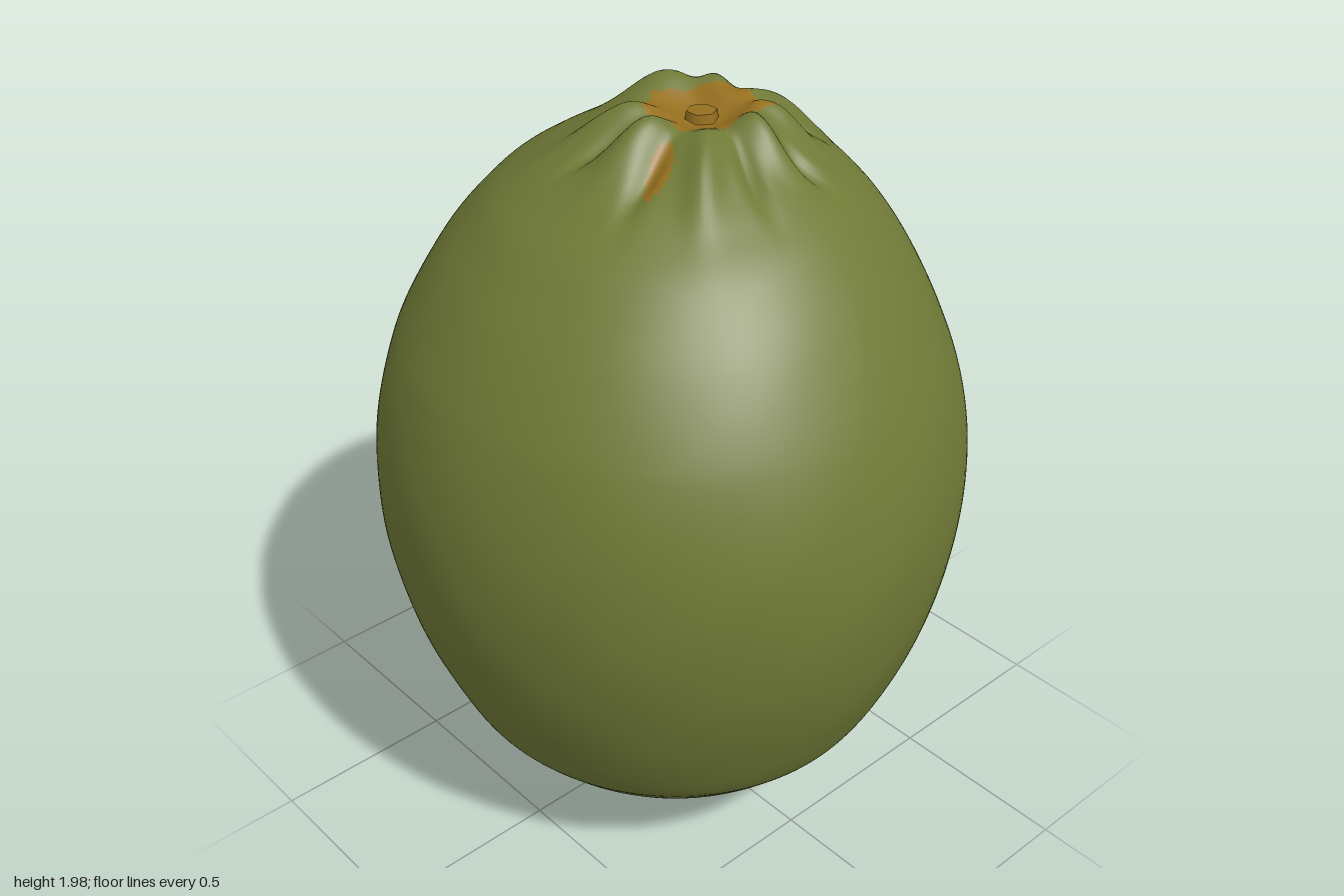
import * as THREE from 'three';
import { mergeVertices } from 'three/addons/utils/BufferGeometryUtils.js';

const skin = new THREE.MeshStandardMaterial({ color: 0x707a37 });
skin.name = 'olive green skin';
const scar = new THREE.MeshStandardMaterial({ color: 0x96701f });
scar.name = 'brown scar';

// Half outline of the fruit: radius, height (bottom to top)
const PROFILE = [
  [0, 0.004], [0.04, 0.01], [0.07, 0.032], [0.1, 0.062], [0.145, 0.09], [0.23, 0.108], [0.36, 0.143],
  [0.48, 0.21], [0.57, 0.3], [0.645, 0.4], [0.73, 0.6], [0.782, 0.8], [0.8, 1.0], [0.78, 1.2], [0.718, 1.4],
  [0.61, 1.6], [0.49, 1.745], [0.385, 1.825], [0.285, 1.885], [0.2, 1.935], [0.15, 1.955], [0.1, 1.945],
  [0.05, 1.93], [0, 1.93],
];

// Crown folds, from the stem centre: x, z, length outwards, width, height
const FOLDS = [
  [0.08, -0.19, 0.07, 0.09, 0.045], [0.2, -0.11, 0.1, 0.04, 0.03], [0.3, 0.04, 0.13, 0.035, 0.04],
  [0.17, 0.15, 0.09, 0.04, 0.035], [0.05, 0.2, 0.09, 0.045, 0.04], [-0.14, 0.21, 0.11, 0.04, 0.04],
  [-0.19, 0.02, 0.09, 0.05, 0.045], [-0.14, -0.11, 0.11, 0.04, 0.03], [0.09, -0.02, 0.03, 0.05, 0.02],
  // creases between the folds
  [0.19, -0.2, 0.08, 0.025, -0.025], [0.25, 0.11, 0.09, 0.022, -0.03], [0.12, 0.27, 0.08, 0.025, -0.03],
  [-0.04, 0.26, 0.09, 0.022, -0.025], [-0.22, 0.11, 0.09, 0.025, -0.03], [-0.21, -0.06, 0.08, 0.025, -0.025],
];

function foldHeight(x, z) {
  let h = 0;
  for (const [fx, fz, len, wid, amp] of FOLDS) {
    const d = Math.hypot(fx, fz), ux = fx / d, uz = fz / d;
    const along = (x - fx) * ux + (z - fz) * uz;
    const across = -(x - fx) * uz + (z - fz) * ux;
    h += amp * Math.exp(-((along / len) ** 2) - (across / wid) ** 2);
  }
  return h;
}

// Brown areas: the stem hollow, its spur, and two specks at the base
function isScar(x, y, z) {
  if (y > 1.7) {
    const hollow = x > -0.06 && x < 0.2 && z > -0.11 + 0.6 * Math.abs(x - 0.04) && z < (x > 0 ? 0.16 : 0.11);
    const u = (x + 0.17) * 0.87 - (z - 0.145) * 0.5, v = (x + 0.17) * 0.5 + (z - 0.145) * 0.87;
    return hollow || Math.hypot(u / 0.075, v / 0.028) < 1;
  }
  return y < 0.4 && (Math.hypot(x - 0.05, z) < 0.022 || Math.hypot(x - 0.37, z + 0.29) < 0.02);
}

function bodyGeometry() {
  const curve = new THREE.SplineCurve(PROFILE.map(([r, y]) => new THREE.Vector2(r, y)));
  const points = curve.getSpacedPoints(170);
  points[0].x = points[170].x = 0;
  let geo = new THREE.LatheGeometry(points, 160);
  geo.deleteAttribute('uv');
  geo.deleteAttribute('normal');
  geo = mergeVertices(geo);

  const pos = geo.attributes.position;
  for (let i = 0; i < pos.count; i++) {
    let x = pos.getX(i), y = pos.getY(i), z = pos.getZ(i);
    const r = Math.hypot(x, z), a = Math.atan2(z, x);
    const side = Math.min(1, r / 0.5);
    // folded crown, its right shoulder a little higher
    if (y > 1.4) y += foldHeight(x, z) + 0.04 * x * Math.min(1, (y - 1.4) / 0.3);
    // broader along one diagonal, with gentle unevenness
    const wobble = 1 + side * (-0.03 * Math.sin(2 * a) + 0.003 * Math.sin(3 * a + 1.2 + y)
      + 0.003 * Math.sin(5 * a - 2 * y) + 0.002 * Math.sin(11 * a + 7 * y) * Math.sin(9 * y));
    x *= wobble * 0.988;
    z *= wobble * 1.008;
    // small wrinkles around the tip
    if (y < 0.6) {
      const ring = Math.exp(-(((r - 0.32) / 0.15) ** 2));
      y += ring * (0.004 * Math.sin(9 * a + 24 * r) + 0.004 * Math.sin(5 * a - 30 * r));
    }
    // stem and tip sit a little off centre
    const shift = Math.exp(-((r / 0.3) ** 2));
    x += shift * (y > 1 ? 0.06 : 0.05);
    z += shift * (y > 1 ? 0.04 : 0);
    pos.setXYZ(i, x, y, z);
  }
  geo.computeVertexNormals();

  // sort the triangles into skin and scar
  const lists = [[], []], idx = geo.index;
  for (let t = 0; t < idx.count; t += 3) {
    const tri = [idx.getX(t), idx.getX(t + 1), idx.getX(t + 2)];
    const mean = (get) => tri.reduce((s, v) => s + pos[get](v), 0) / 3;
    lists[isScar(mean('getX'), mean('getY'), mean('getZ')) ? 1 : 0].push(...tri);
  }
  geo.setIndex(lists[0].concat(lists[1]));
  geo.addGroup(0, lists[0].length, 0);
  geo.addGroup(lists[0].length, lists[1].length, 1);
  return geo;
}

export function createModel() {
  const group = new THREE.Group();
  group.name = 'citrusFruit';

  const body = new THREE.Mesh(bodyGeometry(), [skin, scar]);
  body.name = 'fruitBody';
  group.add(body);

  // small six-sided stem button in the hollow
  const button = new THREE.Mesh(new THREE.CylinderGeometry(0.038, 0.045, 0.04, 6), scar);
  button.name = 'stemButton';
  button.position.set(0.06, 1.935, 0.04);
  group.add(button);
  return group;
}
